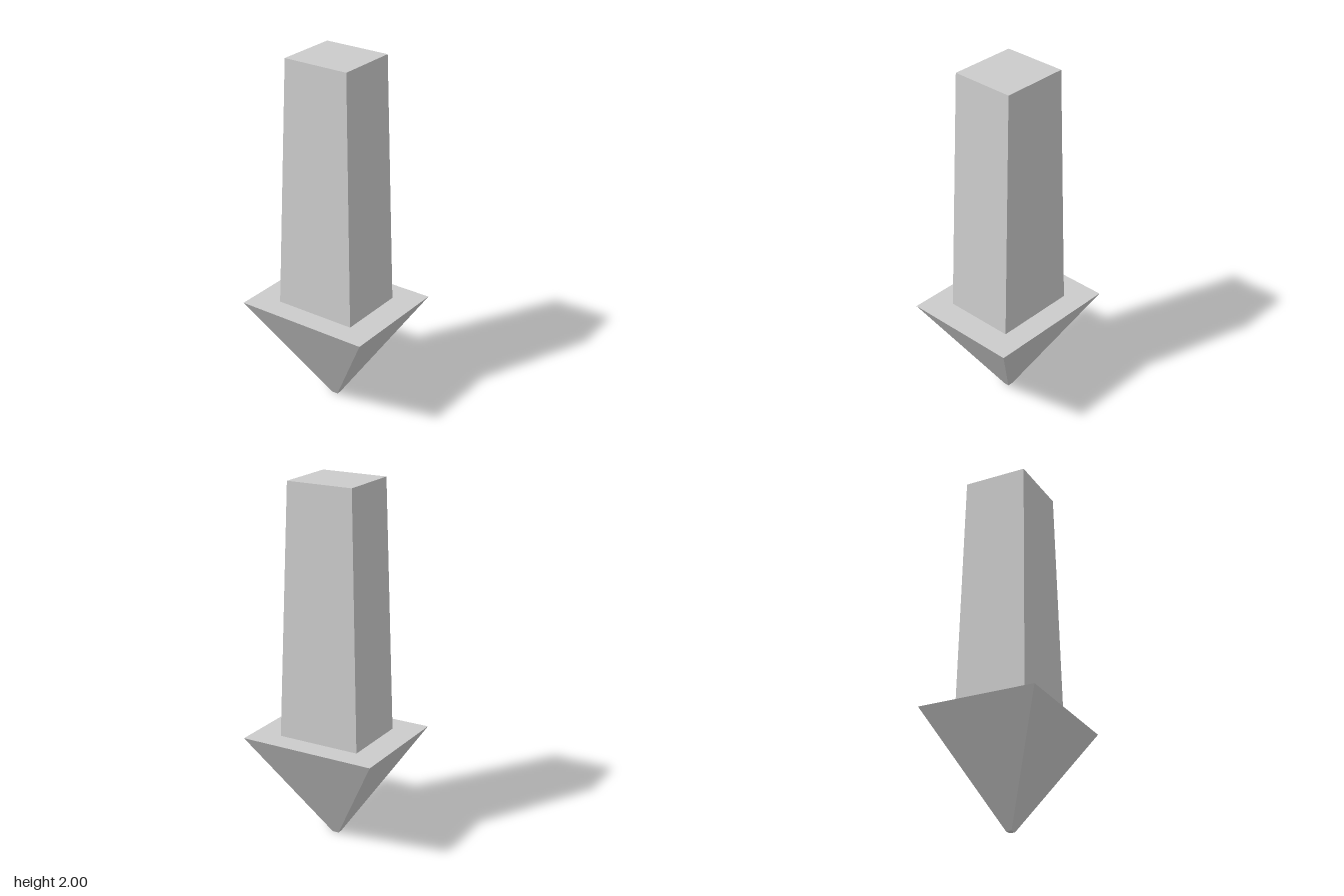
import * as THREE from 'three';

const material = new THREE.MeshStandardMaterial({ color: 0xcccccc, flatShading: true });

// Tapered block between two rectangles, given as half width (x) and half depth (z)
function taperedBlock(name, y0, y1, bottom, top) {
  const geometry = new THREE.BoxGeometry(2, y1 - y0, 2);
  geometry.translate(0, (y0 + y1) / 2, 0);
  const p = geometry.attributes.position;
  const middle = (y0 + y1) / 2;
  for (let i = 0; i < p.count; i++) {
    const [hx, hz] = p.getY(i) > middle ? top : bottom;
    p.setX(i, p.getX(i) * hx);
    p.setZ(i, p.getZ(i) * hz);
  }
  geometry.computeVertexNormals();
  const mesh = new THREE.Mesh(geometry, material);
  mesh.name = name;
  return mesh;
}

export function createModel() {
  const model = new THREE.Group();
  model.name = 'downArrow';

  // Pointed head, blunted at the tip
  model.add(taperedBlock('arrowHead', 0, 0.6, [0.016, 0.019], [0.33, 0.39]));

  // Shaft, narrowing towards the top
  model.add(taperedBlock('shaft', 0.6, 2, [0.2, 0.237], [0.178, 0.19]));

  return model;
}
